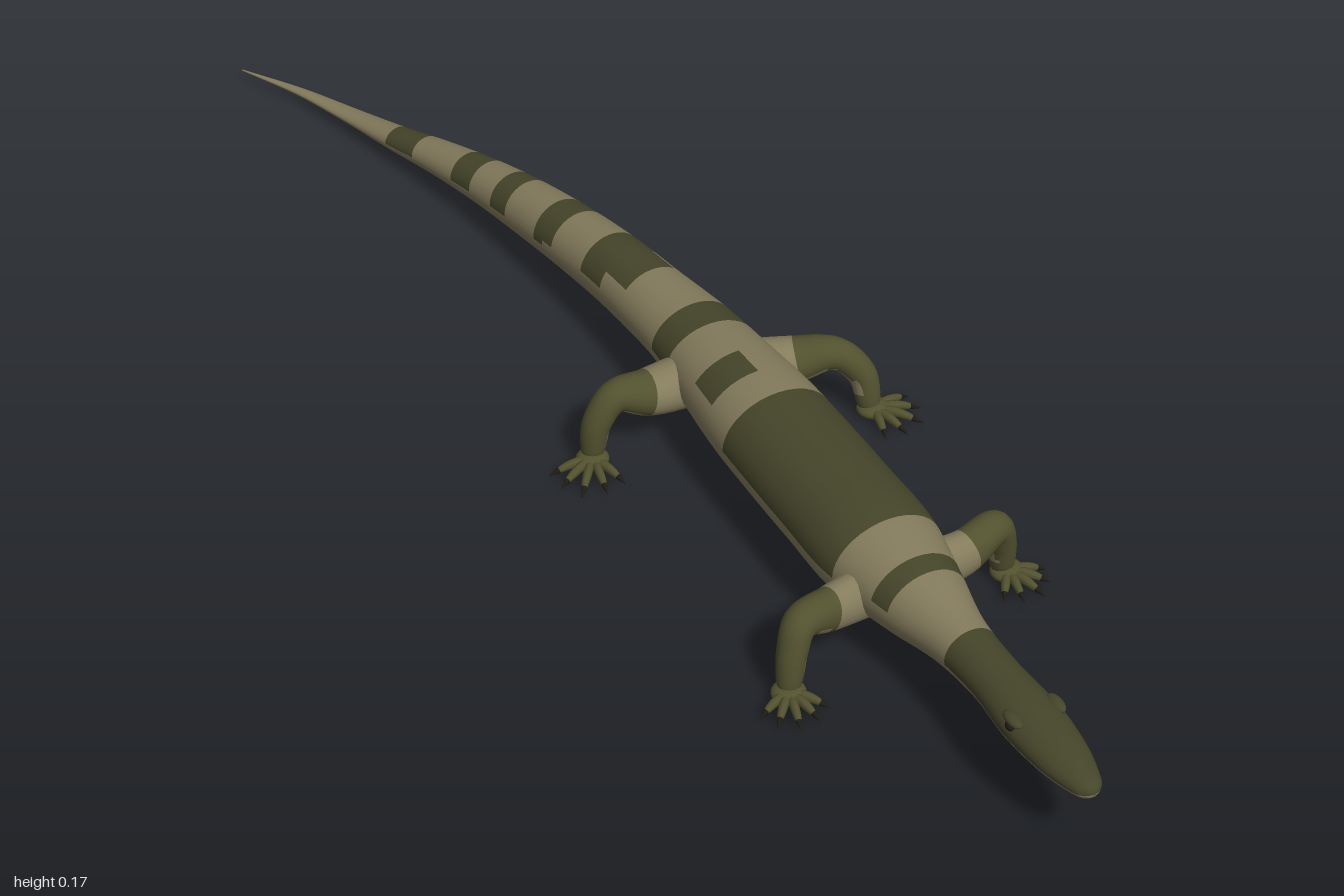
import * as THREE from 'three';

const flat = (name, color) => {
  const m = new THREE.MeshStandardMaterial({ color });
  m.name = name;
  return m;
};

// Sweep elliptical rings along stations [x, y, z, rx, ry]; pick(point, dir) gives the material index of a face.
function loft(name, stations, rings, sides, ref, materials, pick) {
  const path = new THREE.CatmullRomCurve3(stations.map(s => new THREE.Vector3(s[0], s[1], s[2])), false, 'catmullrom');
  const size = new THREE.CatmullRomCurve3(stations.map(s => new THREE.Vector3(s[3], s[4], 0)), false, 'catmullrom');
  const pos = [], faces = materials.map(() => []);
  const frame = t => {
    const c = path.getPoint(t), T = path.getTangent(t);
    const A = ref.clone().addScaledVector(T, -ref.dot(T)).normalize();
    return { c, A, B: T.clone().cross(A), r: size.getPoint(t) };
  };
  const dirAt = (f, a) => f.A.clone().multiplyScalar(Math.cos(a)).addScaledVector(f.B, Math.sin(a));
  for (let i = 0; i <= rings; i++) {
    const f = frame(i / rings);
    for (let j = 0; j < sides; j++) {
      const a = j / sides * Math.PI * 2;
      const p = f.c.clone()
        .addScaledVector(f.A, Math.cos(a) * Math.max(f.r.x, 0.0004))
        .addScaledVector(f.B, Math.sin(a) * Math.max(f.r.y, 0.0004));
      pos.push(p.x, p.y, p.z);
    }
  }
  for (let i = 0; i < rings; i++) {
    const f = frame((i + 0.5) / rings);
    for (let j = 0; j < sides; j++) {
      const k = (j + 1) % sides, d = dirAt(f, (j + 0.5) / sides * Math.PI * 2);
      const a = i * sides + j, b = i * sides + k;
      faces[pick(f.c, d)].push(a, b, a + sides, b, b + sides, a + sides);
    }
  }
  const g = new THREE.BufferGeometry();
  g.setAttribute('position', new THREE.Float32BufferAttribute(pos, 3));
  g.setIndex(faces.flat());
  let start = 0;
  faces.forEach((list, m) => { g.addGroup(start, list.length, m); start += list.length; });
  g.computeVertexNormals();
  const mesh = new THREE.Mesh(g, materials);
  mesh.name = name;
  return mesh;
}

export function createModel() {
  const root = new THREE.Group();
  root.name = 'lizard';
  const tan = flat('tan skin', 0x857c5d);
  const dark = flat('dark markings', 0x46462b);
  const olive = flat('olive limbs', 0x52512f);
  const claw = flat('claws and eyes', 0x1f1c15);
  const X = new THREE.Vector3(1, 0, 0), Y = new THREE.Vector3(0, 1, 0), Z = new THREE.Vector3(0, 0, 1);

  // Tail tip to snout
  const spine = [
    [-0.245, 0.018, -1, 0.001, 0.001], [-0.192, 0.021, -0.9, 0.008, 0.005],
    [-0.153, 0.026, -0.8, 0.016, 0.009], [-0.122, 0.036, -0.7, 0.023, 0.017],
    [-0.092, 0.050, -0.6, 0.030, 0.025], [-0.066, 0.062, -0.5, 0.037, 0.033],
    [-0.046, 0.073, -0.4, 0.043, 0.040], [-0.030, 0.083, -0.3, 0.048, 0.044],
    [-0.017, 0.091, -0.2, 0.051, 0.048], [-0.008, 0.097, -0.1, 0.055, 0.049],
    [0, 0.101, 0, 0.063, 0.051], [0, 0.101, 0.1, 0.072, 0.060],
    [0, 0.101, 0.2, 0.080, 0.066], [0, 0.101, 0.3, 0.082, 0.067],
    [0, 0.101, 0.4, 0.082, 0.067], [0, 0.101, 0.5, 0.081, 0.066],
    [0, 0.102, 0.6, 0.061, 0.053], [0, 0.105, 0.69, 0.040, 0.037],
    [0, 0.109, 0.78, 0.035, 0.029], [0, 0.109, 0.86, 0.040, 0.028],
    [0, 0.108, 0.93, 0.034, 0.023], [0, 0.107, 0.98, 0.021, 0.015],
    [0, 0.107, 0.995, 0.011, 0.009], [0, 0.107, 1, 0, 0],
  ];
  // Markings: [z from, z to, lowest height on the left, lowest height on the right]
  const marks = [
    [-0.70, -0.64, 0.3, 0], [-0.55, -0.50, 0.35, 0], [-0.45, -0.41, 0.3, 0],
    [-0.33, -0.29, 0.35, 0.1], [-0.21, -0.16, 0.3, 0.1], [-0.16, -0.10, 0.8, 0.6],
    [0.0, 0.05, 0.1, 0], [0.13, 0.18, 2, 0.45], [0.235, 0.52, 0, 0],
    [0.585, 0.62, 0.2, 0.2], [0.72, 1.01, -0.1, -0.1],
  ];
  root.add(loft('body', spine, 300, 36, X, [tan, dark], (p, d) =>
    marks.some(m => p.z > m[0] && p.z < m[1] && d.y > (d.x > 0 ? m[2] : m[3])) ? 1 : 0));

  // Eyes, brow ridges and nostrils
  const ball = (name, mat, x, y, z, sx, sy, sz) => {
    const m = new THREE.Mesh(new THREE.SphereGeometry(1, 16, 12), mat);
    m.name = name;
    m.position.set(x, y, z);
    m.scale.set(sx, sy, sz);
    root.add(m);
  };
  for (const s of [1, -1]) {
    ball('eye', claw, s * 0.035, 0.122, 0.868, 0.006, 0.006, 0.008);
    ball('brow', dark, s * 0.030, 0.128, 0.865, 0.009, 0.006, 0.018);
    ball('nostril', claw, s * 0.012, 0.116, 0.981, 0.003, 0.002, 0.003);
  }

  // Limb: hip to ankle, palm, and five fanned toes ending in claws
  function leg(name, s, hipZ, ankleX, ankleZ, thick, aim, toeLength) {
    const g = new THREE.Group();
    g.name = name;
    const z = k => hipZ + (ankleZ - hipZ) * k;
    g.add(loft('limb', [
      [s * 0.045, 0.088, hipZ, thick * 1.1, 0.038],
      [s * 0.100, 0.088, z(0.2), thick, 0.032],
      [s * 0.150, 0.099, z(0.6), 0.023, 0.023],
      [s * (ankleX - 0.007), 0.066, z(0.85), 0.020, 0.020],
      [s * ankleX, 0.025, z(1), 0.016, 0.017],
      [s * (ankleX + 0.004), 0.010, z(1.03), 0.010, 0.011],
    ], 36, 18, Z, [tan, olive], (p, d) =>
      Math.abs(p.x) < 0.108 || d.y < -0.55 || (d.x * s < -0.75 && p.y > 0.04) ? 0 : 1));
    const palm = new THREE.Mesh(new THREE.SphereGeometry(1, 18, 12), olive);
    palm.name = 'palm';
    palm.position.set(s * (ankleX + 0.004), 0.012, ankleZ + 0.006);
    palm.scale.set(0.023, 0.011, 0.022);
    g.add(palm);
    for (let i = -2; i <= 2; i++) {
      const a = aim + i * 0.48, len = toeLength * (1 - Math.abs(i) * 0.08);
      const at = (k, y, r) => [
        palm.position.x + s * Math.sin(a) * len * k, y,
        palm.position.z + Math.cos(a) * len * k, r, r * 0.9];
      g.add(loft('toe', [at(0.1, 0.011, 0.007), at(0.4, 0.013, 0.007), at(0.7, 0.010, 0.0055), at(1, 0.004, 0.0005)],
        12, 8, Y, [olive, claw],
        p => Math.hypot(p.x - palm.position.x, p.z - palm.position.z) > len * 0.76 ? 1 : 0));
    }
    root.add(g);
  }
  leg('frontLeftLeg', 1, 0.545, 0.175, 0.515, 0.026, 0.35, 0.062);
  leg('frontRightLeg', -1, 0.545, 0.175, 0.585, 0.026, 0.25, 0.064);
  leg('hindLeftLeg', 1, 0.080, 0.190, 0.145, 0.034, 0.75, 0.072);
  leg('hindRightLeg', -1, 0.065, 0.185, 0.065, 0.034, 0.65, 0.074);
  return root;
}
